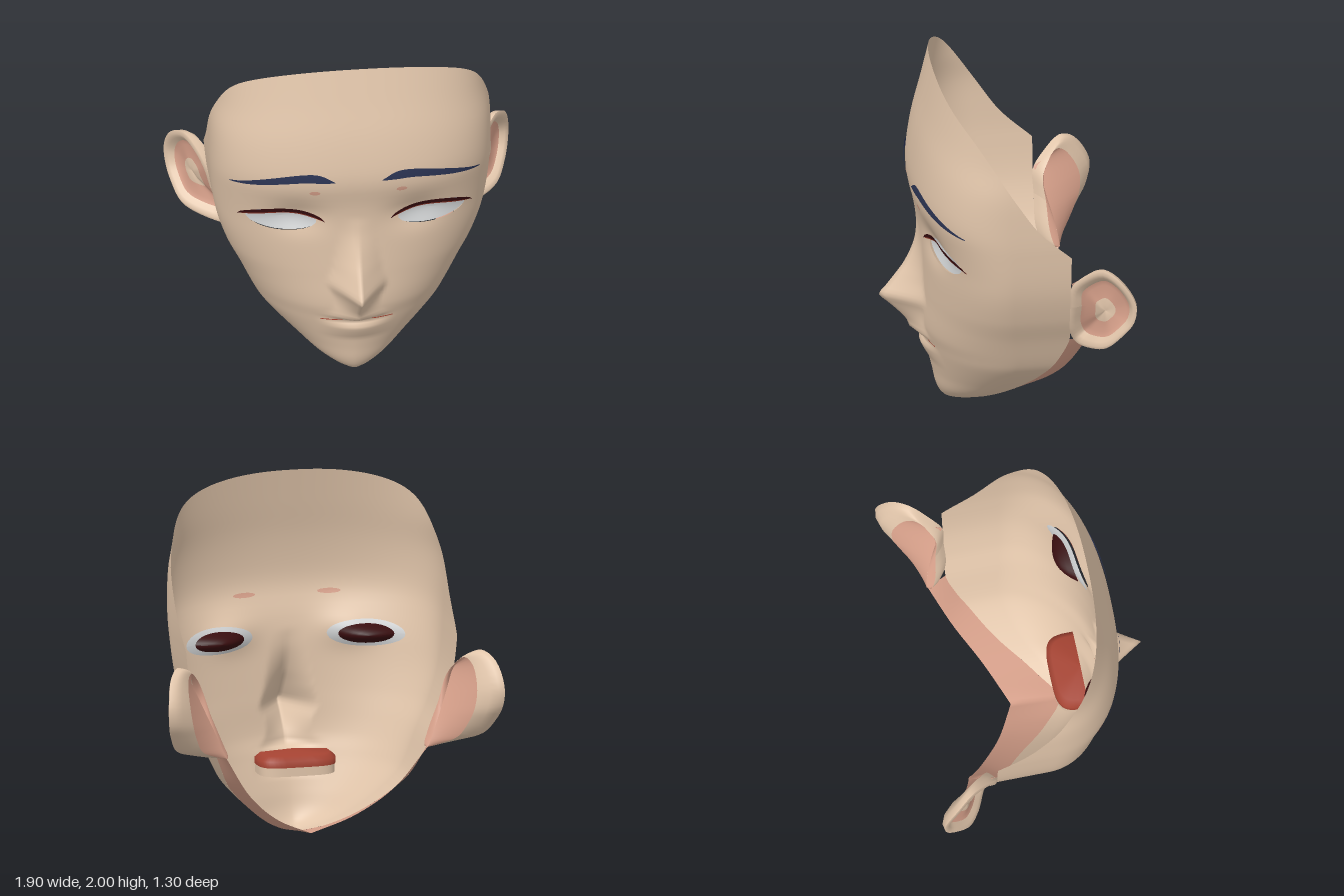
import * as THREE from 'three';

const mat = (name, color) => {
  const m = new THREE.MeshStandardMaterial({ color, side: THREE.DoubleSide });
  m.name = name;
  return m;
};
const { lerp, clamp } = THREE.MathUtils;

// Smooth curve through [input, output] pairs
const curve = (pts) => (v) => {
  const n = pts.length - 1;
  if (v <= pts[0][0]) return pts[0][1];
  if (v >= pts[n][0]) return pts[n][1];
  let i = 0;
  while (v > pts[i + 1][0]) i++;
  const slope = (k) => {
    const a = pts[Math.max(k - 1, 0)], b = pts[Math.min(k + 1, n)];
    return (b[1] - a[1]) / (b[0] - a[0]);
  };
  const h = pts[i + 1][0] - pts[i][0], t = (v - pts[i][0]) / h, t2 = t * t, t3 = t2 * t;
  return (2 * t3 - 3 * t2 + 1) * pts[i][1] + (t3 - 2 * t2 + t) * h * slope(i)
    + (3 * t2 - 2 * t3) * pts[i + 1][1] + (t3 - t2) * h * slope(i + 1);
};

// Head shape by height: half width, midline depth, where the side starts, back edge, squareness
const width = curve([[0, 0.002], [0.016, 0.06], [0.04, 0.12], [0.1, 0.22], [0.2, 0.34], [0.32, 0.46], [0.4, 0.52],
  [0.6, 0.61], [0.75, 0.68], [0.95, 0.74], [1.2, 0.77], [1.4, 0.775], [1.55, 0.77], [1.73, 0.745], [2, 0.74]]);
const midline = curve([[0, 0.23], [0.016, 0.286], [0.08, 0.33], [0.185, 0.355], [0.27, 0.375], [0.4, 0.405],
  [0.5, 0.43], [0.7, 0.43], [0.96, 0.43], [1.1, 0.44], [1.2, 0.455], [1.3, 0.478], [1.4, 0.48], [1.6, 0.45], [1.8, 0.4], [2, 0.35]]);
const sideStart = curve([[0, 0.21], [0.05, 0.16], [0.2, 0.03], [0.4, -0.04], [0.6, -0.02], [0.9, 0], [2, 0]]);
const sideEnd = curve([[0, 0.2], [0.05, 0.1], [0.2, -0.09], [0.38, -0.23], [0.5, -0.29], [0.6, -0.32], [0.8, -0.31], [1.17, -0.31], [2, -0.31]]);
const square = curve([[0, 1.8], [0.2, 1.8], [1, 2.1], [1.3, 2.4], [2, 2.3]]);
// Height of the slanted upper rim by depth
const rimHeight = curve([[-0.31, 1.17], [-0.13, 1.34], [0, 1.53], [0.2, 1.84], [0.35, 2]]);
// Nose and lip relief
const nose = curve([[0.4, 0], [0.44, 0.055], [0.49, 0.07], [0.546, 0.115], [0.6, 0.17], [0.647, 0.217], [0.7, 0.18],
  [0.76, 0.135], [0.84, 0.08], [0.96, 0.027], [1.08, 0]]);
const noseWidth = curve([[0.4, 0.2], [0.5, 0.13], [0.57, 0.13], [0.65, 0.165], [0.75, 0.14], [1.08, 0.09]]);
const lip = curve([[0.26, 0], [0.325, 0.022], [0.37, 0.026], [0.4, -0.008], [0.43, 0.008], [0.46, 0]]);

// Depth of the face front at x, y
function faceZ(x, y) {
  const ax = Math.abs(x), n = square(y), X = Math.min(ax / width(y), 1);
  let z = sideStart(y) + (midline(y) - sideStart(y)) * Math.pow(1 - Math.pow(X, n), 1 / n);
  z += nose(y) * Math.pow(Math.max(0, 1 - ax / noseWidth(y)), 1.25);
  if (ax < 0.23) z += lip(y) * Math.pow(Math.cos(ax / 0.23 * Math.PI / 2), 1.4);
  return z - 0.04 * Math.exp(-(((ax - 0.33) / 0.15) ** 2) - ((y - 1.09) / 0.1) ** 2);
}

// Point on the shell: q runs from the midline (0) round to the back edge (1)
function shell(q, y) {
  const w = width(y);
  if (q > 0.75) return [w, y, lerp(sideStart(y), sideEnd(y), (q - 0.75) / 0.25)];
  const x = w * Math.pow(Math.sin(q / 0.75 * Math.PI / 2), 2 / square(y));
  return [x, y, faceZ(x, y)];
}

// Surface from a rule giving a point for each (i, j); keep() may leave cells out
function grid(nu, nv, point, keep = () => true) {
  const pos = [], idx = [], id = (i, j) => i * (nv + 1) + j;
  for (let i = 0; i <= nu; i++) for (let j = 0; j <= nv; j++) pos.push(...point(i, j));
  for (let i = 0; i < nu; i++) for (let j = 0; j < nv; j++) {
    if (keep(i, j)) idx.push(id(i, j), id(i + 1, j), id(i, j + 1), id(i + 1, j), id(i + 1, j + 1), id(i, j + 1));
  }
  const g = new THREE.BufferGeometry();
  g.setAttribute('position', new THREE.Float32BufferAttribute(pos, 3));
  g.setIndex(idx);
  g.computeVertexNormals();
  return g;
}

const EYE = { x: 0.415, y: 1.06, rx: 0.19, ry: 0.07 };

export function createModel() {
  const root = new THREE.Group();
  const skin = mat('skin', 0xe2c6ab), pink = mat('blushSkin', 0xd8a18b), white = mat('eyeWhite', 0xcbcdce);
  const maroon = mat('darkMaroon', 0x380d0f), lashRed = mat('lashRed', 0x8a3527);
  const navy = mat('browNavy', 0x2c3555), red = mat('mouthRed', 0xa54332);
  const add = (name, g, m) => {
    const mesh = new THREE.Mesh(g, m);
    mesh.name = name;
    root.add(mesh);
  };

  // Face shell with eye openings
  const COLS = 72, LOW = 58, HIGH = 18, rim = [];
  for (let c = 0; c <= COLS; c++) {
    let y = 1.5;
    for (let k = 0; k < 20; k++) y = rimHeight(shell(c / COLS, y)[2]);
    rim.push(y);
  }
  const eyeR = (x, y) => Math.hypot((Math.abs(x) - EYE.x) / EYE.rx, (y - EYE.y) / EYE.ry);
  const rawFace = (i, j) => {
    const c = Math.abs(i - COLS);
    const y = j <= LOW ? 1.17 * j / LOW : lerp(1.17, rim[c], (j - LOW) / HIGH);
    const p = shell(c / COLS, y);
    return [Math.sign(i - COLS) * p[0], y, p[2]];
  };
  const inEye = (i, j) => {
    const p = rawFace(i, j);
    return p[2] > 0 && eyeR(p[0], p[1]) < 1;
  };
  add('face', grid(2 * COLS, LOW + HIGH, (i, j) => {
    const p = rawFace(i, j);
    if (!inEye(i, j)) return p;
    const r = Math.max(eyeR(p[0], p[1]), 0.01), s = Math.sign(p[0]);
    const x = s * (EYE.x + (Math.abs(p[0]) - EYE.x) / r), y = EYE.y + (p[1] - EYE.y) / r;
    return [x, y, faceZ(x, y)];
  }, (i, j) => !(inEye(i, j) && inEye(i + 1, j) && inEye(i, j + 1) && inEye(i + 1, j + 1))), skin);

  // Mouth line, cavity and inner lip
  add('mouthLine', grid(24, 1, (i, j) => {
    const x = -0.2 + i / 60;
    return [x, 0.399 + j * 0.005, faceZ(x, 0.4) + 0.004];
  }), red);
  const bag = (i, k, y) => {
    const a = Math.PI * i / 24, c = Math.cos(a);
    return [0.22 * k * Math.sign(c) * Math.sqrt(Math.abs(c)), y, 0.31 - 0.17 * k * Math.sqrt(Math.abs(Math.sin(a)))];
  };
  add('mouthCavity', grid(24, 3, (i, j) => bag(i, [1, 1, 0.85, 0][j], [0.37, 0.405, 0.43, 0.44][j])), red);
  add('innerLip', grid(24, 1, (i, j) => bag(i, 0.98, 0.32 + 0.05 * j)), skin);

  // Underside of the jaw, running from ear to ear
  const jawRim = new THREE.CatmullRomCurve3([[0.57, 0.585, -0.43], [0.41, 0.34, -0.32], [0.22, 0.165, -0.19], [0, 0.05, -0.08]]
    .map((p) => new THREE.Vector3(...p)));
  add('jawUnderside', grid(60, 4, (i, j) => {
    const t = 1 - Math.abs(i - 30) / 30, y = 0.6 * (1 - t) ** 1.5, r = jawRim.getPoint(t), k = j / 4;
    return [Math.sign(i - 30) * lerp(width(y), r.x, k), lerp(y, r.y, k), lerp(sideEnd(y), r.z, k)];
  }), pink);

  // Ear outline, its front edge lying on the back edge of the face
  const earLoop = new THREE.CatmullRomCurve3([[0.712, 0.85, -0.31], [0.748, 0.98, -0.31], [0.79, 1.06, -0.37], [0.86, 1.125, -0.47],
    [0.92, 1.08, -0.56], [0.95, 0.95, -0.64], [0.945, 0.84, -0.63], [0.92, 0.75, -0.57], [0.87, 0.66, -0.49],
    [0.77, 0.615, -0.42], [0.62, 0.59, -0.35], [0.645, 0.68, -0.312]].map((p) => new THREE.Vector3(...p)), true).getPoints(48);
  const earMid = new THREE.Vector3(0.84, 0.86, -0.47), earOut = new THREE.Vector3(0.83, 0, 0.55);
  // Line on the head where the back of the ear joins
  const earSeam = (y) => {
    const t = clamp((y - 0.59) / 0.53, 0, 1);
    return new THREE.Vector3(lerp(0.57, 0.742, t), lerp(0.585, 1.0, t), lerp(-0.435, -0.312, t ** 1.5));
  };

  for (const [side, s] of [['left', 1], ['right', -1]]) {
    // Ear: rim, hollow and inner fold; each loop is [scale, depth]
    const earFront = (name, loops, m) => add(side + name, grid(48, loops.length - 1, (i, j) => {
      const [k, d] = loops[j];
      const p = earLoop[i].clone().sub(earMid).multiplyScalar(k).add(earMid).addScaledVector(earOut, d);
      return [s * p.x, p.y, p.z];
    }), m);
    earFront('EarRim', [[1, 0], [0.92, 0.008], [0.82, -0.005], [0.72, -0.03]], skin);
    earFront('EarHollow', [[0.72, -0.03], [0.6, -0.04], [0.3, -0.035]], pink);
    earFront('EarFold', [[0.3, -0.035], [0.15, -0.03], [0, -0.035]], skin);

    // Back of the ear, drawn in to the head; each loop is [blend to the seam, depth]
    const earBack = (name, loops, m) => add(side + name, grid(48, loops.length - 1, (i, j) => {
      const [b, d] = loops[j], p = earLoop[i].clone().lerp(earSeam(earLoop[i].y), b).addScaledVector(earOut, d);
      return [s * p.x, p.y, p.z];
    }), m);
    earBack('EarBack', [[0, 0], [0.04, -0.03], [0.15, -0.05], [0.35, -0.055]], skin);
    earBack('EarRoot', [[0.35, -0.055], [0.7, -0.03], [1, 0]], pink);

    // Eye: white bowl with a deeper dark bowl behind it
    const disc = (size, off, bowl) => grid(32, 5, (i, j) => {
      const a = i / 32 * Math.PI * 2, k = size * j / 5;
      const x = EYE.x + EYE.rx * k * Math.cos(a), y = EYE.y + EYE.ry * k * Math.sin(a);
      return [s * x, y, faceZ(x, y) - off - bowl * (1 - (k / size) ** 2)];
    });
    add(side + 'EyeWhite', disc(1.08, 0.016, 0.014), white);
    add(side + 'EyeBack', disc(0.78, 0.032, 0.07), maroon);

    // Lashes: dark upper band over a thin red lower band that widens at the corners
    const lash = (from, to, lift) => grid(28, 2, (i, j) => {
      const t = i / 28, x = 0.18 + 0.47 * t, sin = Math.max(Math.sin(Math.PI * t), 0);
      const k = lerp(from, to, j / 2);
      const y = 1.063 - 0.012 * t + lerp(0.049 * Math.pow(sin, 0.95), 0.088 * Math.pow(sin, 0.58), k);
      return [s * x, y, faceZ(x, y) + lift];
    });
    add(side + 'LashLower', lash(0, 0.35, 0.01), lashRed);
    add(side + 'LashUpper', lash(0.3, 1, 0.016), maroon);

    // Eyebrow
    const top = curve([[0.13, 1.357], [0.2, 1.398], [0.27, 1.408], [0.4, 1.388], [0.55, 1.343], [0.69, 1.284]]);
    const low = curve([[0.13, 1.353], [0.2, 1.353], [0.3, 1.354], [0.42, 1.337], [0.55, 1.31], [0.69, 1.278]]);
    add(side + 'Eyebrow', grid(28, 3, (i, j) => {
      const x = 0.13 + 0.56 * i / 28, y = lerp(low(x), top(x), j / 3);
      return [s * x, y, faceZ(x, y) + 0.009];
    }), navy);

    // Small blush below the inner brow, outside and inside
    for (const [name, off, rx] of [['BrowBlush', 0.003, 0.03], ['BrowBlushInside', -0.003, 0.065]]) {
      add(side + name, grid(16, 2, (i, j) => {
        const a = i / 16 * Math.PI * 2, x = 0.24 + rx * j / 2 * Math.cos(a), y = 1.28 + 0.014 * j / 2 * Math.sin(a);
        return [s * x, y, faceZ(x, y) + off];
      }), pink);
    }
  }
  return root;
}
